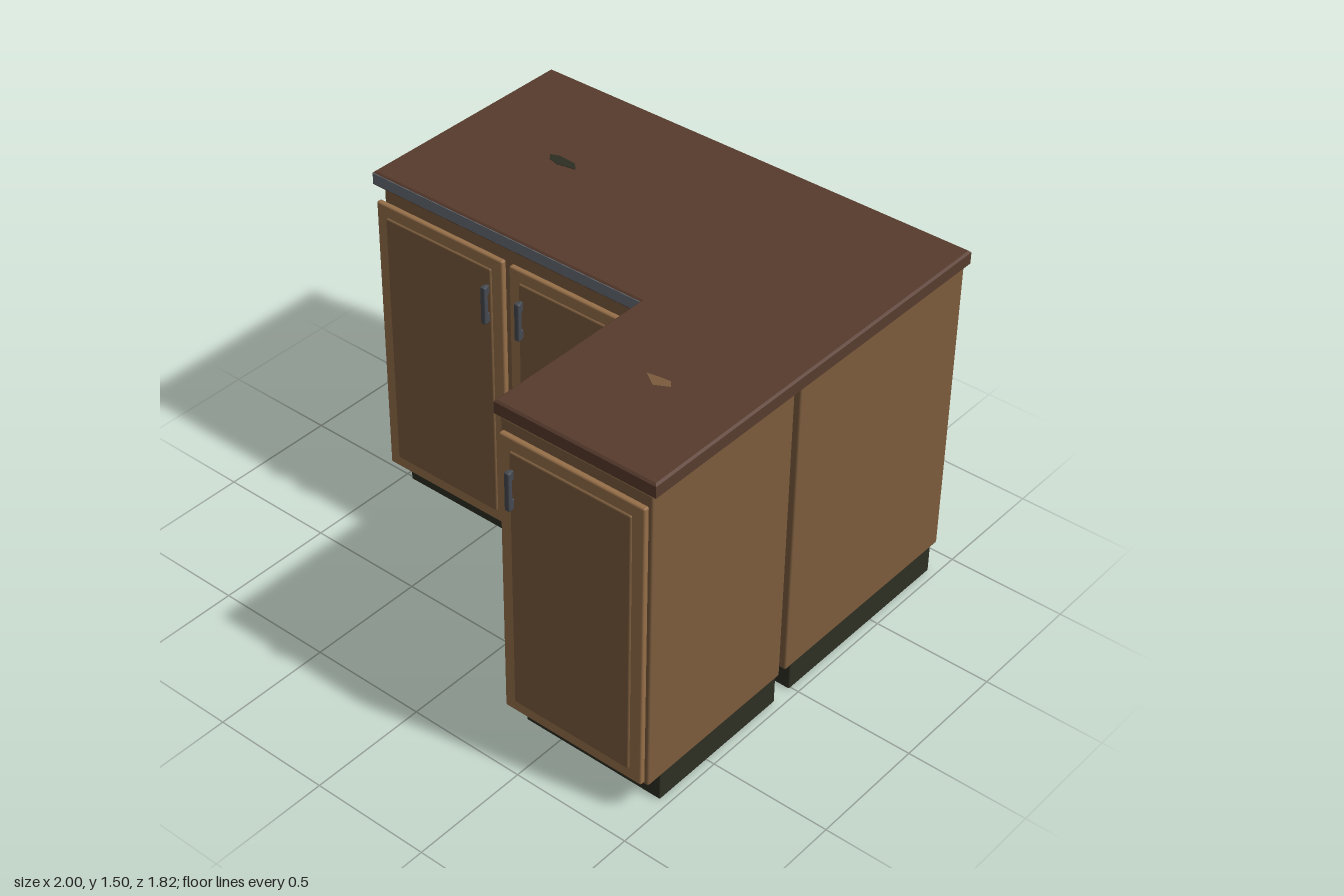
import * as THREE from 'three';
import { RoundedBoxGeometry } from 'three/addons/geometries/RoundedBoxGeometry.js';

const paint = (name, color) => {
  const m = new THREE.MeshStandardMaterial({ color });
  m.name = name;
  return m;
};

export function createModel() {
  const wood = paint('cabinet wood', 0x7b5c3d);
  const trim = paint('door frame wood', 0x966f49);
  const stone = paint('dark brown counter', 0x573b2d);
  const plinth = paint('dark plinth', 0x2d2e22);
  const steel = paint('steel trim', 0x666e76);
  const iron = paint('handle grey', 0x454a51);

  const group = new THREE.Group();
  group.name = 'cornerCabinet';

  const add = (parent, name, geometry, material) => {
    const mesh = new THREE.Mesh(geometry, material);
    mesh.name = name;
    parent.add(mesh);
    return mesh;
  };
  // Box with softened edges, given by its limits on each axis
  const block = (parent, name, [x0, x1], [y0, y1], [z0, z1], material, r = 0.008) => {
    const g = new RoundedBoxGeometry(x1 - x0, y1 - y0, z1 - z0, 2, r);
    g.translate((x0 + x1) / 2, (y0 + y1) / 2, (z0 + z1) / 2);
    return add(parent, name, g, material);
  };

  // Carcasses and recessed plinths, with a narrow gap between the two units
  block(group, 'mainCarcass', [-0.98, 0.98], [0.138, 1.436], [-0.905, 0.063], wood);
  block(group, 'wingCarcass', [0.32, 0.98], [0.138, 1.436], [0.098, 0.85], wood);
  block(group, 'mainPlinth', [-0.965, 0.965], [0, 0.138], [-0.885, 0.012], plinth, 0.005);
  block(group, 'wingPlinth', [0.335, 0.965], [0, 0.138], [0.1, 0.765], plinth, 0.005);

  // Doors: slab, raised centre panel and bar handle on two short posts
  const door = (name, x0, x1, z, handleX) => {
    const d = new THREE.Group();
    d.name = name;
    block(d, 'doorFrame', [x0, x1], [0.152, 1.39], [z, z + 0.025], trim);
    block(d, 'doorPanel', [x0 + 0.052, x1 - 0.052], [0.205, 1.338], [z + 0.01, z + 0.033], wood, 0.006);
    block(d, 'handleBar', [handleX - 0.012, handleX + 0.012], [1.104, 1.268], [z + 0.042, z + 0.062], iron, 0.006);
    for (const y of [1.125, 1.247])
      block(d, 'handlePost', [handleX - 0.008, handleX + 0.008], [y - 0.02, y + 0.02], [z + 0.02, z + 0.05], iron, 0.003);
    group.add(d);
  };
  door('leftDoor', -0.968, -0.335, 0.094, -0.403);
  door('middleDoor', -0.302, 0.335, 0.094, -0.237);
  door('wingDoor', 0.333, 0.967, 0.85, 0.397);

  // L-shaped counter with a small bevel; the shape is inset by the bevel size
  const b = 0.008;
  const outline = new THREE.Shape([
    [-1 + b, 0.91 - b], [-1 + b, -0.1 + b], [0.3 + b, -0.1 + b],
    [0.3 + b, -0.86 + b], [1 - b, -0.86 + b], [1 - b, 0.91 - b],
  ].map(([x, y]) => new THREE.Vector2(x, y)));
  const top = new THREE.ExtrudeGeometry(outline, {
    depth: 0.064 - 2 * b, bevelEnabled: true, bevelSize: b, bevelThickness: b, bevelSegments: 1,
  });
  top.rotateX(-Math.PI / 2);
  top.translate(0, 1.436 + b, 0);
  add(group, 'counterTop', top, stone);

  // Metal strip along the front edge of the long counter
  const strip = new THREE.BoxGeometry(1.295, 0.046, 0.004);
  strip.translate(-0.35, 1.47, 0.1);
  add(group, 'counterEdgeStrip', strip, steel);

  // Small worn patches lying on the counter
  const patch = (name, points, material) => {
    const s = new THREE.Shape(points.map(([x, z]) => new THREE.Vector2(x, -z)));
    const g = new THREE.ExtrudeGeometry(s, { depth: 0.002, bevelEnabled: false });
    g.rotateX(-Math.PI / 2);
    g.translate(0, 1.4995, 0);
    add(group, name, g, material);
  };
  patch('darkPatch', [[-0.575, -0.42], [-0.54, -0.435], [-0.46, -0.43], [-0.43, -0.4], [-0.51, -0.383], [-0.555, -0.395]], plinth);
  patch('woodPatch', [[0.59, 0.415], [0.64, 0.405], [0.685, 0.4], [0.705, 0.425], [0.65, 0.455]], wood);

  return group;
}
